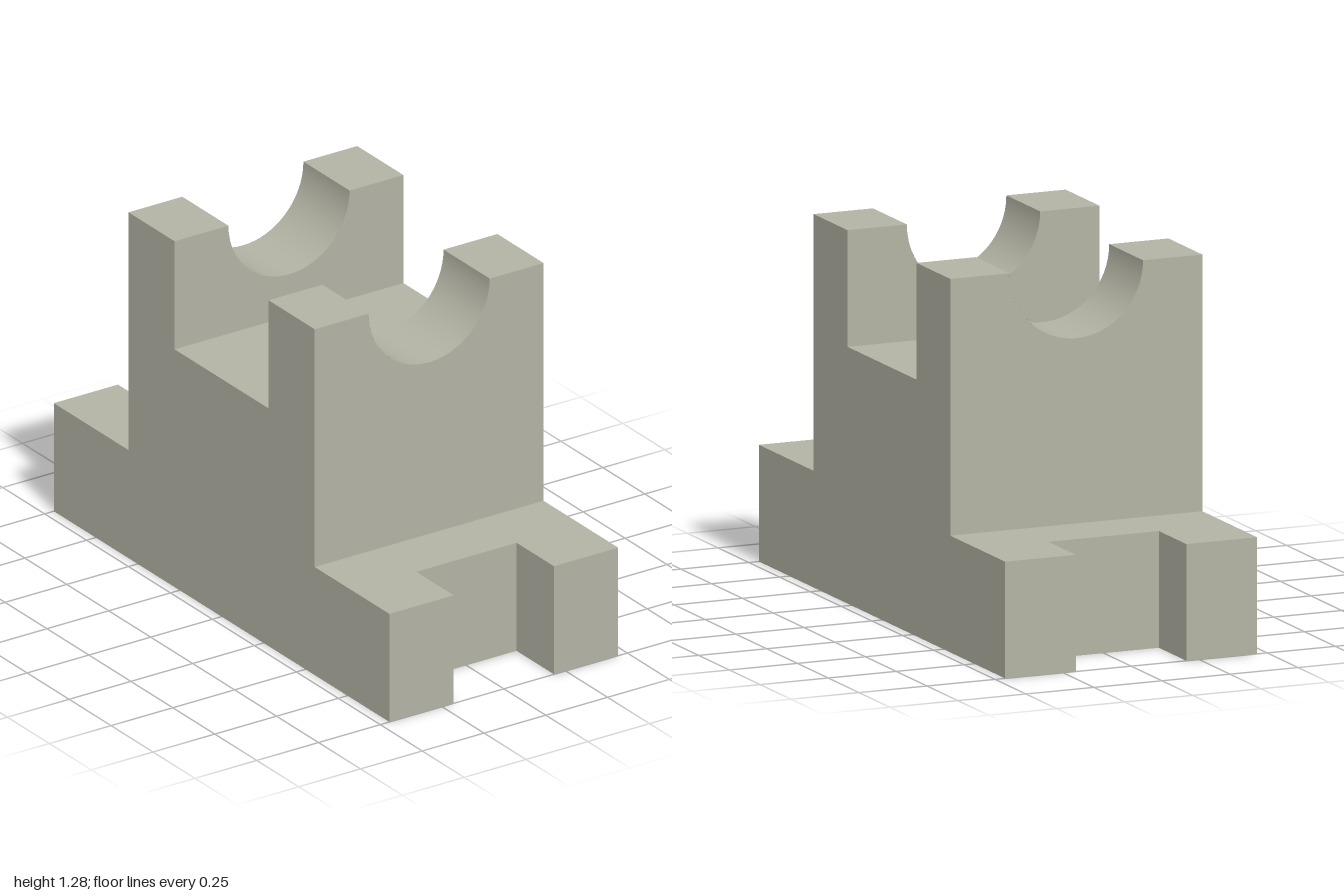
import * as THREE from 'three';

// Main dimensions (half-widths for x and z)
const W = 0.463, SLOT = 0.203, END = 1, NOTCH = 0.777;
const OUT = 0.555, IN = 0.28, BASE = 0.4, SEAT = 0.88, TOP = 1.28, R = 0.245, CEIL = 0.48;

const stone = new THREE.MeshStandardMaterial({ color: 0xb3b3a4, side: THREE.DoubleSide });
stone.name = 'warm grey';

export function createModel() {
  const group = new THREE.Group();
  const add = (name, geometry) => {
    const mesh = new THREE.Mesh(geometry, stone);
    mesh.name = name;
    group.add(mesh);
  };
  const toShape = (pts) => new THREE.Shape(pts.map(([a, b]) => new THREE.Vector2(a, b)));
  const rect = (a0, b0, a1, b1) => toShape([[a0, b0], [a1, b0], [a1, b1], [a0, b1]]);

  // Flat panels: facing z uses (x, y), facing x uses (z, y), facing y uses (x, z)
  const panelZ = (name, shape, z) => add(name, new THREE.ShapeGeometry(shape, 32).translate(0, 0, z));
  const panelX = (name, shape, x) => add(name, new THREE.ShapeGeometry(shape).rotateY(-Math.PI / 2).translate(x, 0, 0));
  const panelY = (name, shape, y) => add(name, new THREE.ShapeGeometry(shape).rotateX(Math.PI / 2).translate(0, y, 0));

  // Wall with a half-round cut in its upper edge
  const cradle = (bottom) => {
    const s = new THREE.Shape();
    s.moveTo(-W, bottom);
    s.lineTo(W, bottom);
    s.lineTo(W, TOP);
    s.lineTo(R, TOP);
    s.absarc(0, TOP, R, 0, -Math.PI, true);
    s.lineTo(-W, TOP);
    s.closePath();
    return s;
  };

  // Stepped side walls
  const sideProfile = toShape([
    [-END, 0], [END, 0], [END, BASE], [OUT, BASE], [OUT, TOP], [IN, TOP], [IN, SEAT],
    [-IN, SEAT], [-IN, TOP], [-OUT, TOP], [-OUT, BASE], [-END, BASE],
  ]);
  panelX('leftSide', sideProfile, W);
  panelX('rightSide', sideProfile, -W);

  // Floor between the supports and the roof of the hollow below
  panelY('middleFloor', rect(-W, -IN, W, IN), SEAT);
  panelY('hollowRoof', rect(-W, -OUT, W, OUT), CEIL);

  for (const s of [1, -1]) {
    const end = s > 0 ? 'front' : 'back';

    // Upright support with its round cradle
    panelZ(end + 'SupportOuter', cradle(0), s * OUT);
    panelZ(end + 'SupportInner', cradle(SEAT), s * IN);
    add(end + 'Cradle', new THREE.CylinderGeometry(R, R, OUT - IN, 32, 1, true, -Math.PI / 2, Math.PI)
      .rotateX(Math.PI / 2).translate(0, TOP, s * (OUT + IN) / 2));

    // Notched foot
    const footPlan = toShape([
      [-W, OUT], [W, OUT], [W, END], [SLOT, END], [SLOT, NOTCH],
      [-SLOT, NOTCH], [-SLOT, END], [-W, END],
    ].map(([x, z]) => [x, s * z]));
    panelY(end + 'FootTop', footPlan, BASE);
    panelZ(end + 'NotchWall', rect(-W, 0, W, BASE), s * NOTCH);
    if (s < 0) panelY('backFootUnderside', footPlan, 0);

    for (const m of [1, -1]) {
      panelY(end + 'SupportTop', rect(m * R, s * IN, m * W, s * OUT), TOP);
      panelZ(end + 'ToeFace', rect(m * SLOT, 0, m * W, BASE), s * END);
      panelX(end + 'ToeInner', rect(s * OUT, 0, s * END, BASE), m * SLOT);
      // Front foot is closed underneath only at its two inner corners
      if (s > 0) panelY('frontCornerUnderside', rect(m * SLOT, OUT, m * W, NOTCH), 0);
    }
  }
  return group;
}
